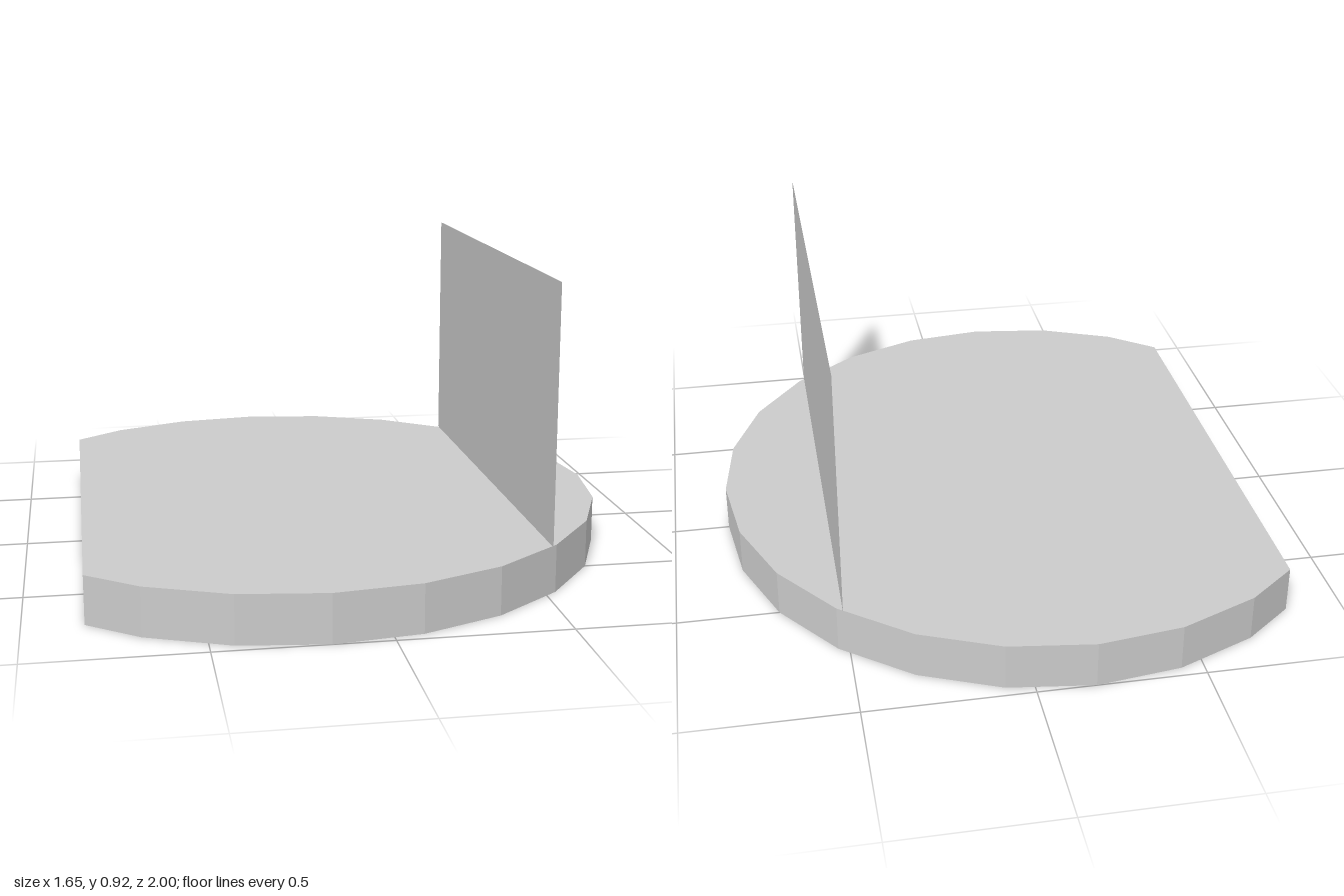
import * as THREE from 'three';

export function createModel() {
  const group = new THREE.Group();
  const thickness = 0.145, centreX = -0.174, cutX = -0.826, cutZ = 0.748;

  // Base: 24-sided disc of radius 1, cut straight along one side
  const outline = new THREE.Shape();
  outline.moveTo(cutX, -cutZ);
  for (let i = -8; i <= 8; i++) {
    const a = (i * Math.PI) / 12;
    outline.lineTo(centreX + Math.cos(a), Math.sin(a));
  }
  outline.lineTo(cutX, cutZ);
  outline.closePath();

  const baseGeometry = new THREE.ExtrudeGeometry(outline, { depth: thickness, bevelEnabled: false });
  baseGeometry.rotateX(-Math.PI / 2);
  const base = new THREE.Mesh(
    baseGeometry,
    new THREE.MeshStandardMaterial({ color: 0xcccccc, flatShading: true })
  );
  base.name = 'base';
  group.add(base);

  // Upright panel: a thin sheet standing across the disc
  const height = 0.773;
  const panel = new THREE.Mesh(
    new THREE.PlaneGeometry(1.462, height),
    new THREE.MeshStandardMaterial({ color: 0xcccccc, side: THREE.DoubleSide })
  );
  panel.rotation.y = Math.PI / 2;
  panel.position.set(0.516, thickness + height / 2, 0);
  panel.name = 'uprightPanel';
  group.add(panel);

  return group;
}
